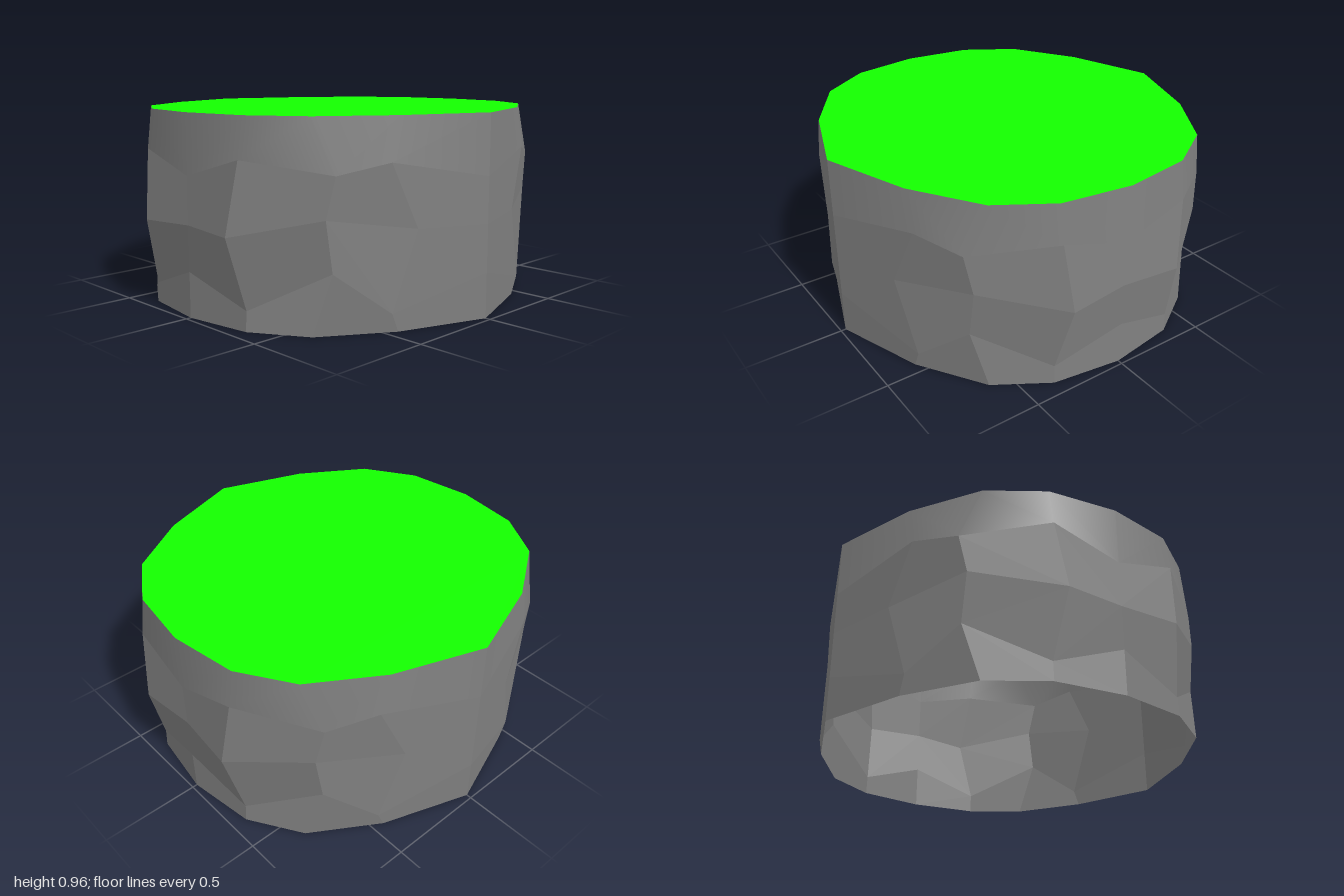
import * as THREE from 'three';

const HEIGHT = 0.96;
const RIM = [[0, 0.975], [0.35, 0.925], [0.61, 0.765], [0.82, 0.44], [0.975, 0]];

// One quadrant of the wall: each row runs from the front (x = 0) to the side (z = 0)
const atHeight = (y) => RIM.map(([x, z]) => [x, y, z]);
const ROWS = [
  atHeight(0),
  [[0, 0.22, 0.975], [0.35, 0.095, 0.92], [0.67, 0.28, 0.7], [0.82, 0.09, 0.48], [0.975, 0.22, 0]],
  [[0, 0.44, 0.975], [0.31, 0.43, 1.0], [0.67, 0.52, 0.74], [0.86, 0.46, 0.36], [0.975, 0.45, 0]],
  [[0, 0.67, 0.975], [0.35, 0.77, 0.955], [0.7, 0.71, 0.71], [0.82, 0.76, 0.49], [0.975, 0.67, 0]],
  atHeight(HEIGHT),
];

// Mirror a quadrant row into a full closed loop, front -> left -> back -> right
function fullLoop(row) {
  const flip = (sx, sz) => ([x, y, z]) => new THREE.Vector3(x * sx, y, z * sz);
  const back = [...row].reverse();
  return [
    ...row.slice(0, 4).map(flip(1, 1)),
    ...back.slice(0, 4).map(flip(1, -1)),
    ...row.slice(0, 4).map(flip(-1, -1)),
    ...back.slice(0, 4).map(flip(-1, 1)),
  ];
}

// Skin neighbouring loops with quads, each shaded flat as a whole;
// smooth blends the shading around the loop, except at the two sharp side edges
function skin(rows, smooth) {
  const loops = rows.map(fullLoop);
  const pos = [], nor = [];
  for (let r = 0; r + 1 < loops.length; r++) {
    const lo = loops[r], hi = loops[r + 1], n = lo.length;
    const faceNormals = lo.map((p, i) => {
      const j = (i + 1) % n;
      return hi[j].clone().sub(p).cross(hi[i].clone().sub(lo[j])).normalize();
    });
    const normalAt = (face, column) => {
      if (!smooth || column % 8 === 4) return faceNormals[face];
      return faceNormals[column].clone().add(faceNormals[(column + n - 1) % n]).normalize();
    };
    for (let i = 0; i < n; i++) {
      const j = (i + 1) % n;
      const a = [lo[i], i], b = [lo[j], j], c = [hi[j], j], d = [hi[i], i];
      // mirror the diagonal from quadrant to quadrant, and turn it in the row of bulges
      const rising = (Math.floor(i / 4) % 2 === 0) !== (!smooth && r === 1);
      for (const [p, column] of rising ? [a, b, c, a, c, d] : [a, b, d, b, c, d]) {
        pos.push(...p.toArray());
        nor.push(...normalAt(i, column).toArray());
      }
    }
  }
  const geo = new THREE.BufferGeometry();
  geo.setAttribute('position', new THREE.Float32BufferAttribute(pos, 3));
  geo.setAttribute('normal', new THREE.Float32BufferAttribute(nor, 3));
  return geo;
}

export function createModel() {
  const group = new THREE.Group();
  group.name = 'rockyPlatform';
  const rock = new THREE.MeshStandardMaterial({ color: 0x808080, side: THREE.DoubleSide });
  const grass = new THREE.MeshStandardMaterial({ color: 0x14ff00, side: THREE.DoubleSide });

  const add = (name, geo, mat) => {
    const mesh = new THREE.Mesh(geo, mat);
    mesh.name = name;
    group.add(mesh);
    return mesh;
  };

  // Faceted wall, open underneath
  add('rockWall', skin(ROWS.slice(0, 4), false), rock);

  // Smooth band below the rim
  add('upperRockBand', skin(ROWS.slice(3), true), rock);

  // Flat grass top
  const outline = fullLoop(ROWS[4]).map(({ x, z }) => new THREE.Vector2(x, -z));
  const top = new THREE.ShapeGeometry(new THREE.Shape(outline));
  top.rotateX(-Math.PI / 2);
  add('grassTop', top, grass).position.y = HEIGHT;

  return group;
}
